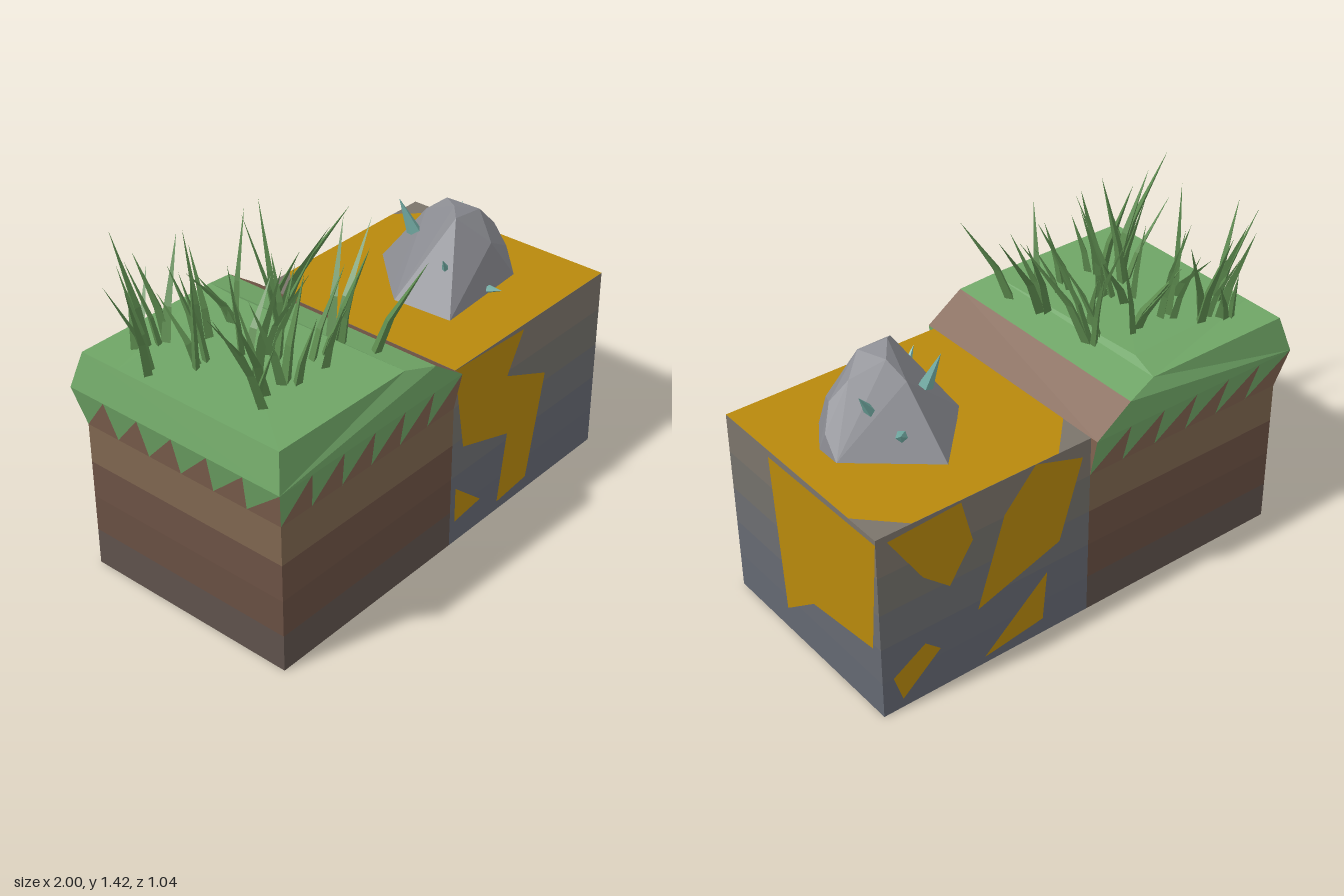
import * as THREE from 'three';
import { ConvexGeometry } from 'three/addons/geometries/ConvexGeometry.js';

const mat = (color) =>
  new THREE.MeshStandardMaterial({ color, flatShading: true, side: THREE.DoubleSide });
const grassMat = mat(0x6fa566), soilMat = mat(0x806250), bladeMat = mat(0x5c8a4e);
const goldMat = mat(0xb8890c), rockMat = mat(0x8b8c92), crystalMat = mat(0x74aea6);

const H = 0.82, Z = 0.485, X0 = -0.935, X1 = 0.03, X2 = 1;
const V = (x, y, z) => new THREE.Vector3(x, y, z);

let seed = 7;
const rand = () => (seed = (seed * 16807) % 2147483647) / 2147483647;

function add(parent, name, geometry, material) {
  const mesh = new THREE.Mesh(geometry, material);
  mesh.name = name;
  parent.add(mesh);
  return mesh;
}

// Faces given as convex corner lists, fanned into flat triangles
function faces(list) {
  const pts = [];
  for (const f of list)
    for (let i = 1; i < f.length - 1; i++) pts.push(f[0], f[i], f[i + 1]);
  const g = new THREE.BufferGeometry().setFromPoints(pts);
  g.computeVertexNormals();
  return g;
}

// A block made of coloured horizontal layers
function layers(parent, name, xa, xb, bands) {
  for (const [y0, y1, color] of bands) {
    const g = new THREE.BoxGeometry(xb - xa, y1 - y0, 2 * Z);
    add(parent, name, g, mat(color)).position.set((xa + xb) / 2, (y0 + y1) / 2, 0);
  }
}

// Turf: bulging rim, toothed skirt and a bare slope down to the stone
function turf(parent) {
  const green = [], brown = [];
  const top = [V(X0, 0.967, Z), V(-0.27, 0.965, Z), V(-0.13, 0.932, 0.518), V(X1, H, 0.52)];
  const rim = V(-0.975, H, 0.52);
  const back = (v) => V(v.x, v.y, -v.z);
  const strip = (a, b) => [a, b, back(b), back(a)];
  // Top surface, with a gentle rise toward the back
  const ridge = [V(X0, 0.967, -0.3), V(-0.3, 0.982, -0.35)];
  green.push([top[0], top[1], ridge[1], ridge[0]]);
  green.push([ridge[0], ridge[1], back(top[1]), back(top[0])]);
  green.push([top[1], top[2], back(top[2]), back(top[1]), ridge[1]]);
  brown.push(strip(top[2], top[3]));
  green.push([rim, top[0], back(top[0]), back(rim)]);

  // Sawtooth skirt between the block face and the rim
  const skirt = (low0, low1, up0, up1) => {
    const n = 6;
    for (let i = 0; i < n; i++) {
      const a = i / n, b = (i + 1) / n;
      const l0 = low0.clone().lerp(low1, a), l1 = low0.clone().lerp(low1, b);
      const u0 = up0.clone().lerp(up1, a), u1 = up0.clone().lerp(up1, b);
      green.push([u0, l0, u1]);
      brown.push([l0, l1, u1]);
    }
  };
  const low = V(X0, 0.65, Z), lowEnd = V(X1, 0.65, Z);
  skirt(low, lowEnd, rim, top[3]);
  skirt(back(lowEnd), back(low), back(top[3]), back(rim));
  skirt(back(low), low, back(rim), rim);

  for (const m of [(v) => v, back]) {
    green.push([rim, top[3], top[2], top[1], top[0]].map(m));
    (m === back ? brown : green).push([lowEnd, top[3], V(X1, H, Z)].map(m));
  }
  add(parent, 'turf', faces(green), grassMat);
  add(parent, 'bareSoil', faces(brown), soilMat);
}

// One three-sided blade, tapering and bending toward its lean
function blade(parent, x, z, angle, lean, height, width) {
  const rows = [[0, 1], [0.4, 0.75], [1, 0]].map(([t, w]) => [0, 1, 2].map((k) => {
    const a = angle + (k * Math.PI * 2) / 3, bend = lean * t ** 1.4;
    return V(x + Math.cos(angle) * bend + Math.cos(a) * width * w,
      0.94 + height * t, z + Math.sin(angle) * bend + Math.sin(a) * width * w);
  }));
  const list = [];
  for (let r = 0; r < 2; r++)
    for (let k = 0; k < 3; k++) {
      const n = (k + 1) % 3;
      list.push([rows[r][k], rows[r + 1][k], rows[r + 1][n], rows[r][n]]);
    }
  add(parent, 'grassBlade', faces(list), bladeMat);
}

// Flat gold patch; points are [distance across face 0..1, height]
function goldPatch(parent, pts, position, ry = 0, rx = 0) {
  const shape = new THREE.Shape(pts.map(([u, y]) => new THREE.Vector2(u * (X2 - X1), y)));
  const m = add(parent, 'goldPatch', new THREE.ShapeGeometry(shape), goldMat);
  m.position.set(...position);
  m.rotation.set(rx, ry, 0);
}

export function createModel() {
  const model = new THREE.Group();
  model.name = 'terrainBlocks';

  const dirt = new THREE.Group();
  dirt.name = 'dirtBlock';
  model.add(dirt);
  layers(dirt, 'dirtLayer', X0, X1, [
    [0, 0.16, 0x5e514b], [0.16, 0.32, 0x684f42], [0.32, 0.48, 0x6c5144],
    [0.48, 0.65, 0x7e664f], [0.65, H, 0x806250]]);
  turf(dirt);

  // Grass tufts
  const grass = new THREE.Group();
  grass.name = 'grass';
  dirt.add(grass);
  const tufts = [
    [-0.85, -0.22], [-0.79, -0.34], [-0.69, -0.28], [-0.6, -0.2], [-0.72, -0.08],
    [-0.55, 0], [-0.42, -0.22], [-0.33, -0.07], [-0.28, -0.17], [-0.65, 0.1],
    [-0.5, 0.08], [-0.74, 0.25], [-0.6, 0.22], [-0.42, 0.22], [-0.26, 0.16]];
  for (const [x, z] of tufts) {
    const turn = Math.atan2(z, x + 0.57);
    for (let i = 0; i < 3; i++)
      blade(grass, x + (rand() - 0.5) * 0.07, z + (rand() - 0.5) * 0.07,
        turn + (rand() - 0.5) * 3.6, 0.06 + rand() * 0.16, 0.24 + rand() * 0.24,
        0.014 + rand() * 0.011);
  }
  blade(grass, -0.25, -0.14, 0.7, 0.27, 0.45, 0.024);
  blade(grass, -0.23, 0.31, 0.6, 0.2, 0.36, 0.024);
  blade(grass, -0.25, 0.15, -0.15, 0.24, 0.42, 0.024);

  const stone = new THREE.Group();
  stone.name = 'stoneBlock';
  model.add(stone);
  layers(stone, 'stoneLayer', X1, X2, [
    [0, 0.16, 0x646872], [0.16, 0.32, 0x666972], [0.32, 0.48, 0x6c6d70],
    [0.48, 0.65, 0x73706a], [0.65, H, 0x7b746b]]);

  // Gold on the top, front, right and back of the stone
  const e = 0.001;
  goldPatch(stone, [[0, 0], [1, 0], [1, 0.81], [0.84, 0.97], [0.16, 0.97], [0, 0.81]],
    [X1, H + e, Z], 0, -Math.PI / 2);
  for (const p of [
    [[0, 0.82], [0.45, 0.8], [0.35, 0.63], [0.62, 0.52], [0.52, 0.06], [0.32, 0.04], [0.37, 0.35], [0.07, 0.44]],
    [[0.03, 0.26], [0.2, 0.12], [0.03, 0.1]],
  ]) goldPatch(stone, p, [X1, 0, Z + e]);
  goldPatch(stone, [[0.3, 0.79], [1, 0.8], [0.95, 0.3], [0.55, 0.25], [0.35, 0.1]],
    [X2 + e, 0, Z], Math.PI / 2);
  for (const p of [
    [[0.05, 0.79], [0.38, 0.81], [0.43, 0.62], [0.32, 0.46], [0.2, 0.56]],
    [[0.58, 0.66], [0.73, 0.82], [0.96, 0.75], [0.85, 0.41], [0.45, 0.28]],
    [[0.05, 0.16], [0.2, 0.25], [0.27, 0.19], [0.09, 0.04]],
    [[0.48, 0.03], [0.79, 0.29], [0.77, 0.07]],
  ]) goldPatch(stone, p, [X2, 0, -Z - e], Math.PI);

  // Faceted boulder
  const boulder = [
    [0.283, H, -0.016], [0.3, H, 0.25], [0.76, H, 0.22], [0.85, H, 0.08], [0.85, H, -0.03],
    [0.54, H, -0.29], [0.34, H, -0.08], [0.53, 1.175, 0.08], [0.6, 1.155, -0.01],
    [0.49, 1.15, 0.12], [0.63, 1.14, 0.13], [0.72, 1.08, 0.06], [0.79, 1, 0.09],
    [0.84, 0.9, 0.05], [0.6, 1.03, 0.215], [0.57, 1.09, -0.09], [0.37, 0.94, 0.18],
    [0.74, 0.95, 0.19]].map((p) => V(...p));
  add(stone, 'boulder', new ConvexGeometry(boulder), rockMat);

  // Crystal spikes, each from base to tip
  for (const [a, b, r] of [
    [[0.48, 1.03, -0.08], [0.44, 1.175, -0.125], 0.03],
    [[0.62, 0.89, -0.12], [0.685, 0.96, -0.205], 0.035],
    [[0.68, 0.96, -0.03], [0.75, 1.07, -0.045], 0.03],
    [[0.42, 0.94, 0.14], [0.355, 1.035, 0.165], 0.025],
    [[0.57, 0.835, 0.21], [0.57, 0.855, 0.3], 0.022]]) {
    const from = V(...a), dir = V(...b).sub(from), len = dir.length();
    const spike = add(stone, 'crystal', new THREE.ConeGeometry(r, len, 5), crystalMat);
    spike.quaternion.setFromUnitVectors(V(0, 1, 0), dir.clone().normalize());
    spike.position.copy(from).addScaledVector(dir, 0.5);
  }
  return model;
}
